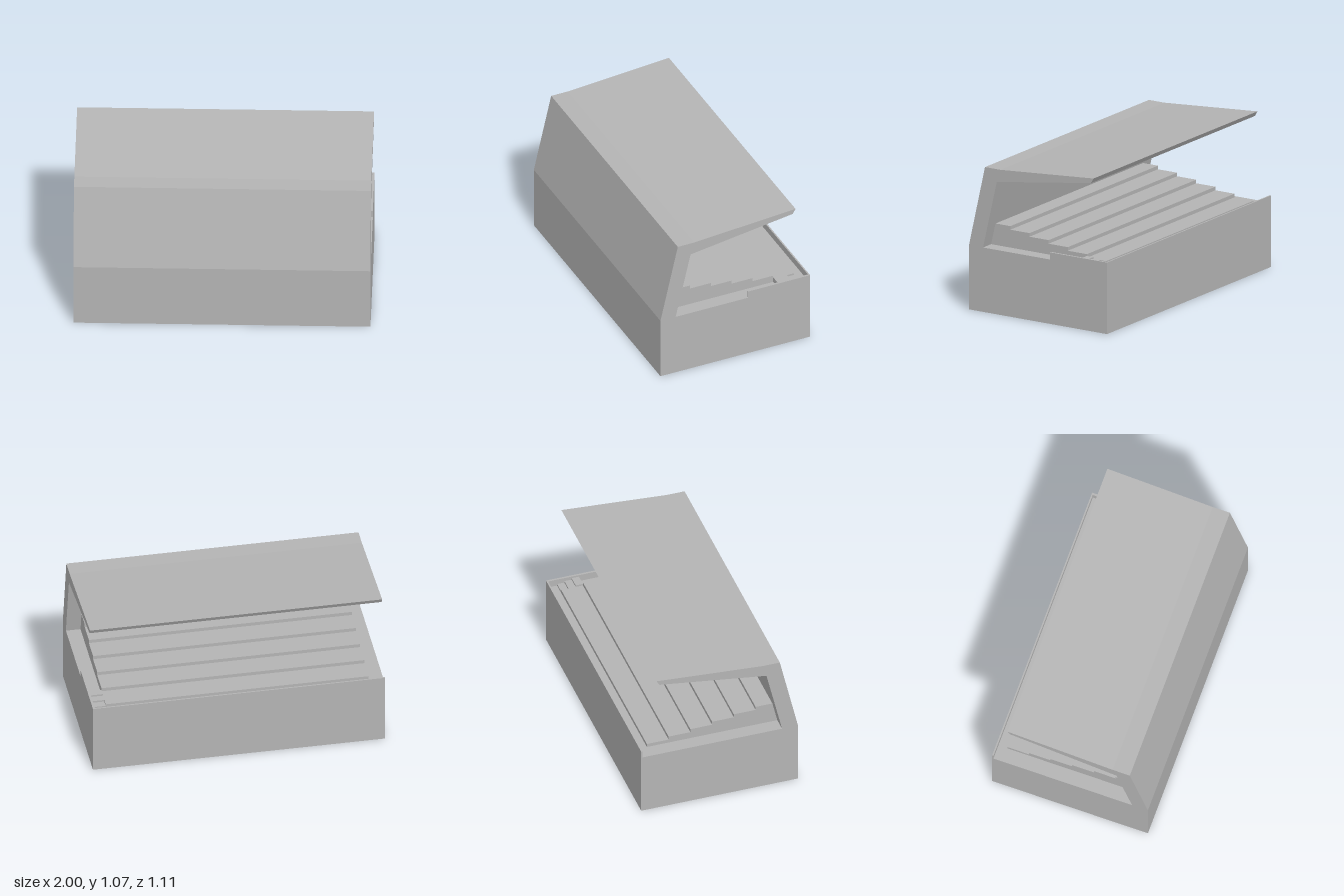
import * as THREE from 'three';

const concrete = new THREE.MeshStandardMaterial({ color: 0xb4b4b4 });
concrete.name = 'concrete grey';

// Extrude a side profile of [z, y] points along x, from x0 to x1
function prism(name, points, x0, x1) {
  const shape = new THREE.Shape(points.map(([z, y]) => new THREE.Vector2(z, y)));
  const geometry = new THREE.ExtrudeGeometry(shape, { depth: x1 - x0, bevelEnabled: false });
  geometry.rotateY(-Math.PI / 2);
  geometry.translate(x1, 0, 0);
  const mesh = new THREE.Mesh(geometry, concrete);
  mesh.name = name;
  return mesh;
}

// Profile of steps rising from zStart towards +z
function stepProfile(zStart, floor, run, rise, count) {
  const points = [[zStart, floor]];
  for (let i = 0; i < count; i++) {
    const y = floor + rise * (i + 1);
    points.push([zStart + run * i, y]);
    if (i < count - 1) points.push([zStart + run * (i + 1), y]);
  }
  return points;
}

export function createModel() {
  const group = new THREE.Group();
  group.name = 'grandstand';
  const half = 0.557, floor = 0.45, railTop = 0.5;

  // Base, back parapet, leaning wall and cantilever roof share one outline
  group.add(prism('baseWallAndRoof', [
    [-half, 0], [half, 0], [half, floor],
    [0.428, 1.015], [0.305, 1.015], [-0.448, 1.071], [-0.428, 1.036],
    [0.333, 0.926], [0.444, floor],
    [-0.547, floor], [-0.547, railTop], [-half, railTop],
  ], -1, 1));

  // Seating terraces, closed against the leaning wall
  const terraces = stepProfile(-0.483, floor, 0.1545, 0.025, 6);
  terraces.push([0.409, 0.6], [0.444, floor]);
  group.add(prism('seatingTerraces', terraces, -0.9, 0.9));

  // Parapet along one end
  group.add(prism('sideParapet', [
    [-0.547, floor], [-0.096, floor], [-0.096, railTop], [-0.547, railTop],
  ], 0.985, 1));

  // Short stair between the terraces and the parapet
  const stair = stepProfile(-0.483, floor, 0.0515, 0.0125, 3);
  stair.push([-0.3285, 0.4875], [-0.3285, floor]);
  group.add(prism('aisleStair', stair, 0.9, 0.985));

  return group;
}
